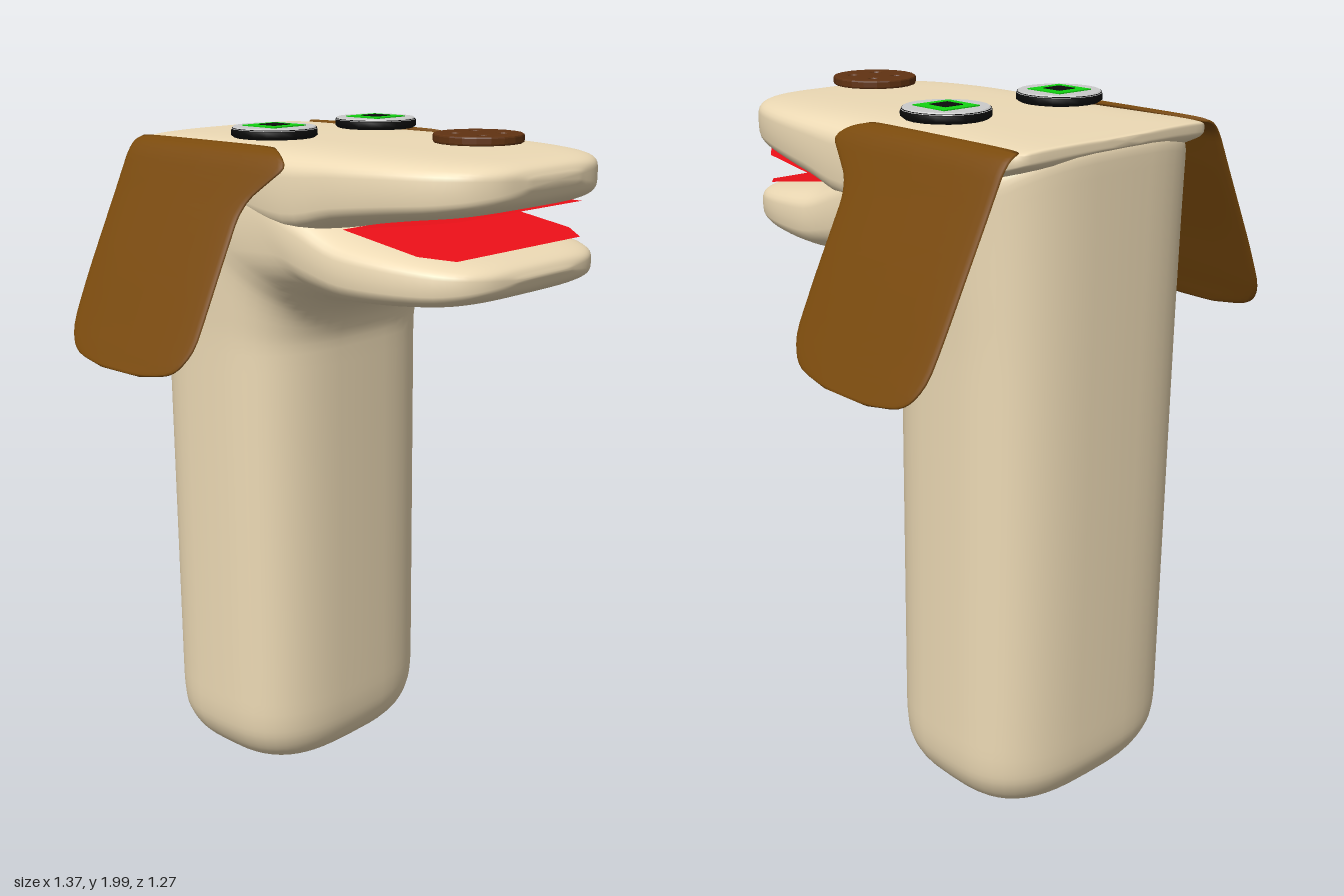
import * as THREE from 'three';

const mat = (color, side = THREE.FrontSide) => new THREE.MeshStandardMaterial({ color, side });
const SKIN = mat(0xeddab5), EAR = mat(0x7a4a0c), RED = mat(0xee1018, THREE.DoubleSide), BUTTON = mat(0x613312);
const GREY = mat(0xcccccc), BLACK = mat(0x0c0c0c), GREEN = mat(0x11d411);
const V = (x, y, z) => new THREE.Vector3(x, y, z);

function add(parent, name, geometry, material, x = 0, y = 0, z = 0) {
  const mesh = new THREE.Mesh(geometry, material);
  mesh.name = name;
  mesh.position.set(x, y, z);
  parent.add(mesh);
  return mesh;
}

// Fills in steps between section rows without overshooting
function refine(rows, steps) {
  const slope = (i, k) => {
    if (i === 0 || i === rows.length - 1) {
      const j = Math.max(i, 1);
      return rows[j][k] - rows[j - 1][k];
    }
    const a = rows[i][k] - rows[i - 1][k], b = rows[i + 1][k] - rows[i][k];
    return a * b > 0 ? 2 * a * b / (a + b) : 0;
  };
  const out = [rows[0]];
  for (let i = 0; i < rows.length - 1; i++)
    for (let s = 1; s <= steps; s++) {
      const t = s / steps, t2 = t * t, t3 = t2 * t;
      out.push(rows[i].map((p, k) => (2 * t3 - 3 * t2 + 1) * p + (3 * t2 - 2 * t3) * rows[i + 1][k]
        + (t3 - 2 * t2 + t) * slope(i, k) + (t3 - t2) * slope(i + 1, k)));
    }
  return out;
}

// Skins superellipse rings { c, u, v, n } (larger n is squarer) and caps both ends
function loft(rings, sides = 48) {
  const pos = [], idx = [];
  const bend = (a, n) => Math.sign(a) * Math.abs(a) ** (2 / n);
  for (const { c, u, v, n } of rings)
    for (let j = 0; j < sides; j++) {
      const t = (j / sides) * Math.PI * 2;
      const p = c.clone().addScaledVector(u, bend(Math.cos(t), n)).addScaledVector(v, bend(Math.sin(t), n));
      pos.push(p.x, p.y, p.z);
    }
  const last = (rings.length - 1) * sides, c0 = rings.length * sides;
  for (const { c } of [rings[0], rings[rings.length - 1]]) pos.push(c.x, c.y, c.z);
  for (let j = 0; j < sides; j++) {
    const k = (j + 1) % sides;
    for (let o = 0; o < last; o += sides)
      idx.push(o + j, o + k, o + sides + k, o + j, o + sides + k, o + sides + j);
    idx.push(c0, k, j, c0 + 1, last + j, last + k);
  }
  const g = new THREE.BufferGeometry();
  g.setAttribute('position', new THREE.Float32BufferAttribute(pos, 3));
  g.setIndex(idx);
  g.computeVertexNormals();
  return g;
}

// Ring across x, spanning from point B to point A in the side plane
const sideRing = ([zA, yA, zB, yB, w, n]) => ({
  c: V(0, (yA + yB) / 2, (zA + zB) / 2),
  u: V(w, 0, 0),
  v: V(0, (yA - yB) / 2, (zA - zB) / 2),
  n,
});

export function createModel() {
  const model = new THREE.Group();
  model.name = 'dogSockPuppet';

  // Sleeve that bends forward into the lower jaw: back z, y, front z, y, half width, squareness
  const sleeve = [
    [-0.42, 0.006, -0.25, 0.006, 0.10, 2.6],
    [-0.51, 0.014, -0.16, 0.014, 0.21, 2.8],
    [-0.565, 0.036, -0.105, 0.036, 0.295, 3],
    [-0.605, 0.085, -0.065, 0.085, 0.345, 3],
    [-0.627, 0.155, -0.047, 0.155, 0.37, 3],
    [-0.63, 0.25, -0.043, 0.25, 0.375, 3],
    [-0.63, 1.00, -0.043, 1.00, 0.375, 3],
    [-0.63, 1.36, -0.043, 1.36, 0.375, 3],
    [-0.63, 1.65, -0.03, 1.43, 0.38, 3],
    [-0.63, 1.90, 0.00, 1.475, 0.385, 3.1],
    [-0.61, 1.94, 0.05, 1.51, 0.39, 3.2],
    [-0.25, 1.935, 0.10, 1.53, 0.393, 3.2],
    [0.00, 1.85, 0.15, 1.54, 0.396, 3.3],
    [0.20, 1.757, 0.24, 1.55, 0.393, 3.5],
    [0.35, 1.728, 0.37, 1.56, 0.375, 3.7],
    [0.50, 1.703, 0.50, 1.575, 0.33, 3.8],
    [0.57, 1.688, 0.57, 1.595, 0.27, 3.8],
    [0.60, 1.672, 0.60, 1.615, 0.20, 3.6],
    [0.613, 1.65, 0.613, 1.64, 0.10, 3],
  ];
  add(model, 'sleeveAndLowerJaw', loft(refine(sleeve, 4).map(sideRing)), SKIN);

  // Top of the head and upper jaw: z, top y, bottom y, half width
  const head = [
    [-0.631, 1.953, 1.93, 0.06],
    [-0.62, 1.957, 1.92, 0.22],
    [-0.603, 1.957, 1.905, 0.335],
    [-0.50, 1.96, 1.86, 0.372],
    [-0.20, 1.962, 1.76, 0.387],
    [0.03, 1.962, 1.715, 0.403],
    [0.20, 1.96, 1.757, 0.397],
    [0.35, 1.957, 1.782, 0.377],
    [0.50, 1.951, 1.803, 0.33],
    [0.58, 1.943, 1.823, 0.267],
    [0.62, 1.928, 1.847, 0.19],
    [0.635, 1.905, 1.88, 0.10],
  ];
  add(model, 'headAndUpperJaw',
    loft(refine(head, 4).map(([z, t, b, w]) => sideRing([z, t, z, b, w, 4.3]))), SKIN);

  // Mouth lining, one plate per jaw, narrowing at the lip
  const liningRows = [[0.19, 0.33], [0.45, 0.33], [0.53, 0.27]];
  for (const [name, heights] of [
    ['upperMouthLining', [1.757, 1.794, 1.803]],
    ['lowerMouthLining', [1.757, 1.715, 1.704]],
  ]) {
    const plate = new THREE.PlaneGeometry(2, 1, 1, 2);
    const p = plate.attributes.position;
    for (let i = 0; i < p.count; i++) {
      const row = Math.floor(i / 2), [z, w] = liningRows[row];
      p.setXYZ(i, p.getX(i) * w, heights[row], z);
    }
    plate.computeVertexNormals();
    add(model, name, plate, RED);
  }

  // Floppy ears: x, y, front z, back z
  const earRows = refine([
    [0.345, 1.951, -0.04, -0.60],
    [0.375, 1.938, 0.01, -0.605],
    [0.399, 1.91, 0.045, -0.605],
    [0.42, 1.87, 0.005, -0.605],
    [0.447, 1.815, -0.05, -0.605],
    [0.477, 1.755, -0.066, -0.605],
    [0.552, 1.605, -0.066, -0.605],
    [0.62, 1.465, -0.068, -0.60],
    [0.652, 1.40, -0.095, -0.575],
    [0.668, 1.367, -0.14, -0.53],
    [0.678, 1.347, -0.25, -0.42],
  ], 3);
  const earRings = earRows.map(([x, y, zf, zb], i) => {
    const a = earRows[Math.max(i - 1, 0)], b = earRows[Math.min(i + 1, earRows.length - 1)];
    const normal = V(a[1] - b[1], b[0] - a[0], 0).setLength(0.007);
    return { c: V(x, y, (zf + zb) / 2), u: V(0, 0, (zb - zf) / 2), v: normal, n: 4 };
  });
  const earGeometry = loft(earRings, 24);
  add(model, 'leftEar', earGeometry, EAR);
  add(model, 'rightEar', earGeometry, EAR).scale.x = -1;

  // Button eyes with square iris and pupil
  const disc = new THREE.LatheGeometry(
    [[0, 0], [0.113, 0], [0.122, 0.007], [0.122, 0.02], [0.119, 0.027], [0, 0.027]]
      .map(([r, y]) => new THREE.Vector2(r, y)), 20);
  for (const [name, x] of [['leftEye', 0.2], ['rightEye', -0.22]]) {
    const eye = new THREE.Group();
    eye.name = name;
    eye.position.set(x, 1.966, -0.175);
    add(eye, 'eyeRim', disc, BLACK);
    add(eye, 'eyeWhite', new THREE.CylinderGeometry(0.115, 0.121, 0.006, 20), GREY, 0, 0.027);
    add(eye, 'iris', new THREE.BoxGeometry(0.125, 0.004, 0.125), GREEN, 0, 0.031);
    add(eye, 'pupil', new THREE.BoxGeometry(0.062, 0.004, 0.062), BLACK, 0, 0.033);
    model.add(eye);
  }

  // Nose: a four-hole button
  const button = new THREE.Shape().absarc(0, 0, 0.118, 0, Math.PI * 2);
  for (const x of [-0.043, 0.043])
    for (const y of [-0.048, 0.048])
      button.holes.push(new THREE.Path().absarc(x, y, 0.02, 0, Math.PI * 2, true));
  const nose = new THREE.ExtrudeGeometry(button, {
    depth: 0.014, bevelThickness: 0.005, bevelSize: 0.004, bevelSegments: 2, curveSegments: 10,
  });
  add(model, 'buttonNose', nose.rotateX(-Math.PI / 2), BUTTON, -0.01, 1.978, 0.385);

  return model;
}
